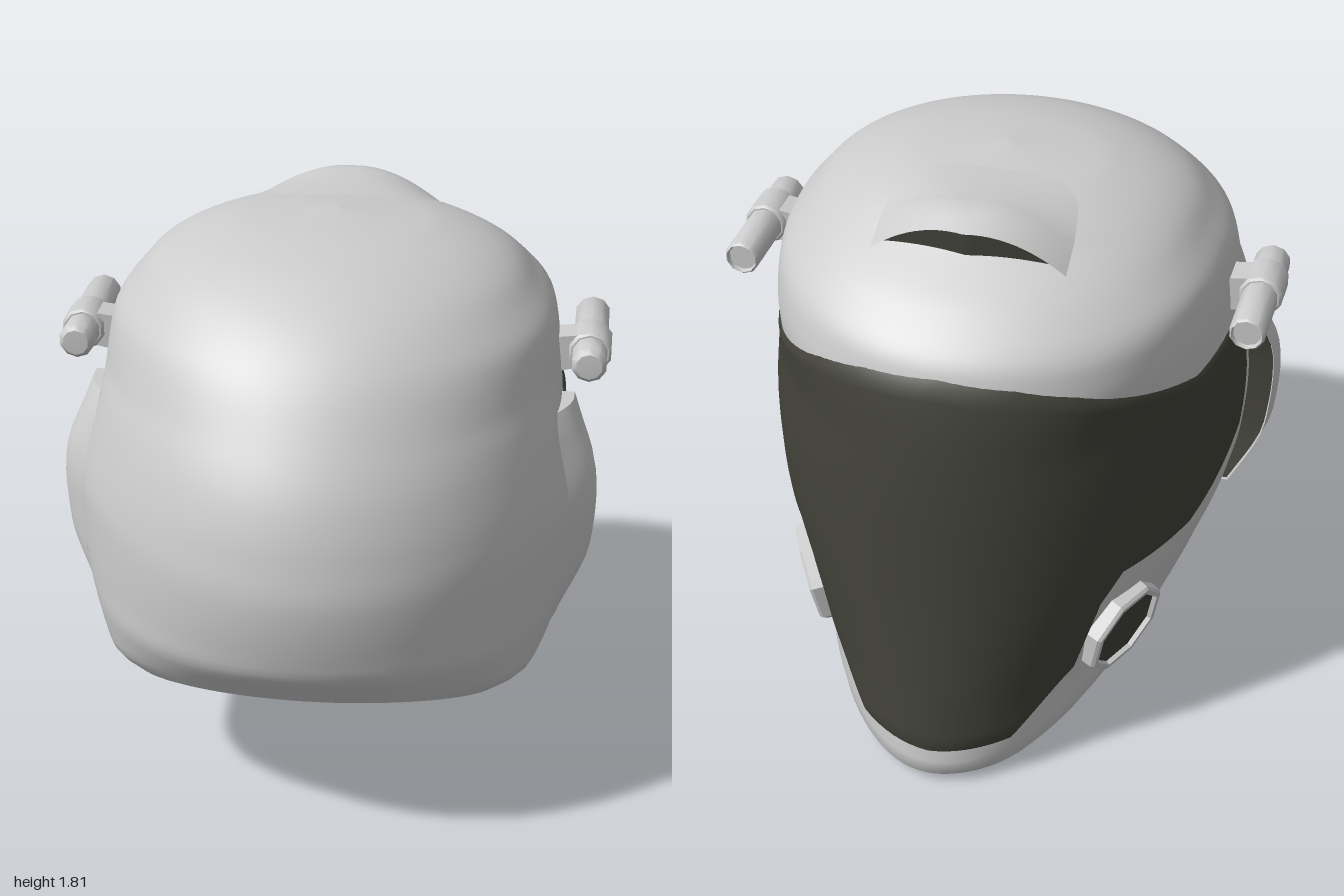
import * as THREE from 'three';
import { mergeVertices, toCreasedNormals } from 'three/addons/utils/BufferGeometryUtils.js';

const grey = new THREE.MeshStandardMaterial({ color: 0xcccccc, side: THREE.DoubleSide });
const flatGrey = new THREE.MeshStandardMaterial({ color: 0xcccccc, side: THREE.DoubleSide, flatShading: true });
const dark = new THREE.MeshStandardMaterial({ color: 0x42423a, side: THREE.DoubleSide });

// Smooth lookup through [key, value] pairs that never overshoots them
function table(...pts) {
  const n = pts.length - 1;
  const d = pts.slice(1).map((p, i) => (p[1] - pts[i][1]) / (p[0] - pts[i][0]));
  const m = pts.map((_, i) => {
    if (i === 0 || i === n) return d[i === 0 ? 0 : n - 1];
    return d[i - 1] * d[i] > 0 ? (2 * d[i - 1] * d[i]) / (d[i - 1] + d[i]) : 0;
  });
  return (k) => {
    if (k <= pts[0][0]) return pts[0][1];
    if (k >= pts[n][0]) return pts[n][1];
    const i = pts.findIndex((p) => p[0] > k) - 1;
    const h = pts[i + 1][0] - pts[i][0], t = (k - pts[i][0]) / h, s = 1 - t;
    return pts[i][1] * (1 + 2 * t) * s * s + pts[i + 1][1] * (3 - 2 * t) * t * t + h * t * s * (m[i] * s - m[i + 1] * t);
  };
}

// Shell outline by height: face edge, back edge, widest station, half width
const faceZ = table([0, -0.96], [0.04, -1], [0.11, -0.99], [0.6, -0.93], [1.13, -0.88], [1.45, -0.81],
  [1.58, -0.68], [1.68, -0.51], [1.76, -0.36], [1.79, -0.22], [1.81, -0.02]);
const backZ = table([0.4, 0.79], [0.52, 0.86], [0.67, 0.97], [0.9, 1], [1.05, 0.975], [1.19, 0.93],
  [1.38, 0.82], [1.56, 0.68], [1.73, 0.42], [1.79, 0.2], [1.81, -0.02]);
const midZ = table([1.3, 0.1], [1.81, -0.02]);
const halfW = table([0, 0.52], [0.1, 0.585], [0.25, 0.6], [0.4, 0.65], [0.6, 0.72], [0.77, 0.755],
  [0.95, 0.765], [1.26, 0.735], [1.44, 0.715], [1.51, 0.7], [1.6, 0.635], [1.68, 0.56], [1.78, 0.32], [1.81, 0]);
// Extra width behind the ears, and squareness of the face and back
const rearExtra = table([0.4, 0], [0.5, 0.03], [0.6, 0.04], [0.75, 0.06], [0.95, 0.065], [1.2, 0.03], [1.35, 0]);
const facePower = table([0.1, 1.8], [0.6, 1.85], [1.15, 1.95], [1.4, 2.5], [1.5, 2.5], [1.75, 2]);
const backPower = table([0.45, 4], [0.6, 2.6], [0.75, 1.9], [0.95, 1.7], [1.3, 1.8], [1.7, 2]);

const zAt = (th, y) => {
  const c = Math.cos(th), m = midZ(y);
  return m + c * (c > 0 ? backZ(y) - m : m - faceZ(y));
};
// Point on the shell: angle 0 is the back of the head, PI is the face
function surf(th, y) {
  const c = Math.cos(th), z = zAt(th, y), p = c > 0 ? backPower(y) : facePower(y);
  const w = halfW(y) + rearExtra(y) * THREE.MathUtils.smoothstep(z, 0.1, 0.36);
  const x = w * Math.sqrt(Math.max(0, 1 - Math.abs(c) ** p));
  return new THREE.Vector3(Math.sin(th) < 0 ? -x : x, y, z);
}
function normalAt(th, y) {
  const e = 0.03;
  const du = surf(th + e, y).sub(surf(th - e, y)), dv = surf(th, y + e).sub(surf(th, y - e));
  return du.cross(dv).normalize();
}
const raised = (th, y, d) => surf(th, y).addScaledVector(normalAt(th, y), d);
function angleAt(z, y) {
  const m = midZ(y), t = (z - m) / (z > m ? backZ(y) - m : m - faceZ(y));
  return Math.acos(THREE.MathUtils.clamp(t, -1, 1));
}
// Height of the dome above a plan position
function topY(x, z) {
  let lo = 1, hi = 1.81;
  for (let i = 0; i < 30; i++) {
    const y = (lo + hi) / 2;
    const inside = z > faceZ(y) && z < backZ(y) && surf(angleAt(z, y), y).x > Math.abs(x);
    if (inside) lo = y; else hi = y;
  }
  return lo;
}

// Surface from a grid of points fn(i, j)
function grid(nu, nv, fn) {
  const pos = [], idx = [];
  for (let j = 0; j <= nv; j++) for (let i = 0; i <= nu; i++) pos.push(...fn(i, j).toArray());
  for (let j = 0; j < nv; j++) for (let i = 0; i < nu; i++) {
    const a = j * (nu + 1) + i, b = a + nu + 1;
    idx.push(a, a + 1, b + 1, a, b + 1, b);
  }
  let g = new THREE.BufferGeometry();
  g.setAttribute('position', new THREE.Float32BufferAttribute(pos, 3));
  g.setIndex(idx);
  g = mergeVertices(g, 1e-5);
  g.computeVertexNormals();
  return g;
}

export function createModel() {
  const model = new THREE.Group();
  const add = (name, geo, mat, parent = model) => {
    const m = new THREE.Mesh(geo, mat);
    m.name = name;
    parent.add(m);
    return m;
  };

  // Shell: rings that start on the sloping neck plane, tucked in at the rim, and level out at the crown
  const N = 112, R = 72;
  const ringPoint = (i, v) => {
    const th = ((i % N) / N) * Math.PI * 2;
    const a = 0.275 + 1.535 * Math.sin((v * Math.PI) / 2);
    const slope = 0.285 * Math.max(0, 1 - (a - 0.275) / 0.9);
    let y = a;
    for (let k = 0; k < 30; k++) y = a + slope * zAt(th, y);
    const p = surf(th, Math.max(0, y));
    p.x *= 1 - 0.07 * Math.max(0, 1 - (a - 0.275) / 0.08) ** 2;
    return p;
  };
  add('shell', grid(N, R, (i, j) => ringPoint(i, j / R)), grey);

  // Underside closing the neck
  const neck = new THREE.Vector3(0, 0.275, 0);
  add('underside', grid(N, 1, (i, j) => (j ? ringPoint(i, 0) : neck.clone())), grey);

  // Visor: matching points [z, y] along its upper and lower edges, from temple to centre
  const upper = [[0.09, 1.1], [0.04, 1.27], [-0.3, 1.24], [-0.6, 1.335], [-0.66, 1.36], [-0.71, 1.39], [-0.78, 1.43], [-2, 1.45]];
  const lower = [[0.09, 1.07], [0.02, 0.84], [-0.3, 0.66], [-0.6, 0.65], [-0.66, 0.55], [-0.7, 0.3], [-0.88, 0.13], [-2, 0.11]];
  const S = 8, half = S * (upper.length - 1), rows = 36;
  const edge = (pts, s) => {
    const k = Math.min(Math.floor(s), pts.length - 2), f = s - k;
    const [p, q] = [pts[k], pts[k + 1]];
    const mix = THREE.MathUtils.lerp;
    return [mix(angleAt(p[0], p[1]), angleAt(q[0], q[1]), f), mix(p[1], q[1], f)];
  };
  add('visor', grid(half * 2, rows, (i, j) => {
    const far = i > half, s = (far ? half * 2 - i : i) / S;
    const [ta, ya] = edge(lower, s), [tb, yb] = edge(upper, s), f = j / rows;
    const th = ta + (tb - ta) * f, y = ya + (yb - ya) * f;
    const border = j === 0 || j === rows || s === 0;
    return raised(far ? Math.PI * 2 - th : th, y, border ? -0.004 : 0.01);
  }), dark);

  // Brow scoop: raised hood with a dark slot under its lip
  const hood = table([-0.53, 0.1], [-0.45, 0.085], [-0.35, 0.04], [-0.25, 0.012], [-0.1, -0.01]);
  const hoodPoint = (u, z, lift) => {
    const x = u * 0.31, zz = z + 0.04 * Math.abs(u) * (z < -0.4 ? 1 : 0.4);
    return new THREE.Vector3(x, topY(x, zz) + lift * (1 - u * u) - 0.004 * u * u, zz);
  };
  add('browScoop', grid(24, 12, (i, j) => {
    const z = -0.1 - (0.43 * j) / 12;
    return hoodPoint(i / 12 - 1, z, hood(z));
  }), grey);
  add('browSlot', grid(24, 1, (i, j) => hoodPoint(i / 12 - 1, -0.505, j ? 0.085 : -0.01)), dark);

  // Paired parts
  const finFront = table([0.58, 0.06], [0.8, 0.12], [1.05, 0.14], [1.26, 0.09]);
  const finBack = table([0.58, 0.37], [1, 0.35], [1.2, 0.31], [1.26, 0.26]);
  const finLift = table([0.58, 0.02], [0.8, 0.08], [1.05, 0.085], [1.22, 0.05], [1.26, 0.04]);
  for (const s of [1, -1]) {
    const side = new THREE.Group();
    side.name = s > 0 ? 'leftSide' : 'rightSide';
    model.add(side);

    // Ear fin: the back of the shell carried forward to an open edge
    const finPoint = (f, y, k) => {
      const z = finBack(y) + (finFront(y) - finBack(y)) * f;
      const p = surf(angleAt(z, y), y);
      return p.set(s * (p.x + k), y, z);
    };
    const finY = (j) => 0.58 + (0.68 * j) / 16;
    const flare = (f, y) => finLift(y) * Math.sin((Math.min(1, f * 1.3) * Math.PI) / 2);
    add('earFin', grid(10, 16, (i, j) => finPoint(i / 10, finY(j), flare(i / 10, finY(j)))), grey, side);
    add('earFinTop', grid(10, 1, (i, j) => finPoint(i / 10, 1.26, j ? flare(i / 10, 1.26) : -0.01)), grey, side);
    add('earFinBase', grid(10, 1, (i, j) => finPoint(i / 10, 0.58, j ? flare(i / 10, 0.58) : -0.01)), grey, side);
    add('earFinGap', grid(1, 16, (i, j) => finPoint(0.96, finY(j), i ? finLift(finY(j)) - 0.005 : -0.01)), dark, side);

    // Octagonal cheek filter
    const th = angleAt(-0.53, 0.39) * s;
    const filter = new THREE.Group();
    filter.name = 'cheekFilter';
    filter.position.copy(surf(th, 0.39));
    filter.quaternion.setFromUnitVectors(new THREE.Vector3(0, 1, 0), normalAt(th, 0.39));
    side.add(filter);
    const rim = [[0.175, -0.05], [0.171, 0.03], [0.163, 0.04], [0.146, 0.04], [0.141, 0.02]];
    add('filterRim', new THREE.LatheGeometry(rim.map((p) => new THREE.Vector2(...p)), 8), flatGrey, filter);
    add('filterFace', new THREE.CylinderGeometry(0.143, 0.143, 0.05, 8), dark, filter);

    // Lamp: tube, collar, rounded rear cap and bracket
    const lamp = new THREE.Group();
    lamp.name = 'lamp';
    lamp.position.set(s * 0.817, 1.39, 0);
    side.add(lamp);
    const profile = [[0, -0.255], [0.045, -0.255], [0.05, -0.27], [0.057, -0.262], [0.057, -0.05], [0.062, -0.05],
      [0.07, -0.043], [0.07, 0.075], [0.062, 0.083], [0.057, 0.083], [0.057, 0.175], [0.042, 0.193], [0, 0.195]];
    const tube = new THREE.LatheGeometry(profile.map((p) => new THREE.Vector2(...p)), 10).rotateX(Math.PI / 2);
    add('lampTube', toCreasedNormals(tube, 0.7), grey, lamp);
    const arm = new THREE.Shape([[-0.02, 0.055], [-0.1, 0.045], [-0.13, -0.06], [-0.09, -0.07], [-0.02, -0.055]]
      .map(([x, y]) => new THREE.Vector2(x * s, y)));
    const armGeo = new THREE.ExtrudeGeometry(arm, { depth: 0.1, bevelEnabled: false });
    add('lampBracket', armGeo.translate(0, 0, -0.035), flatGrey, lamp);
  }
  return model;
}
